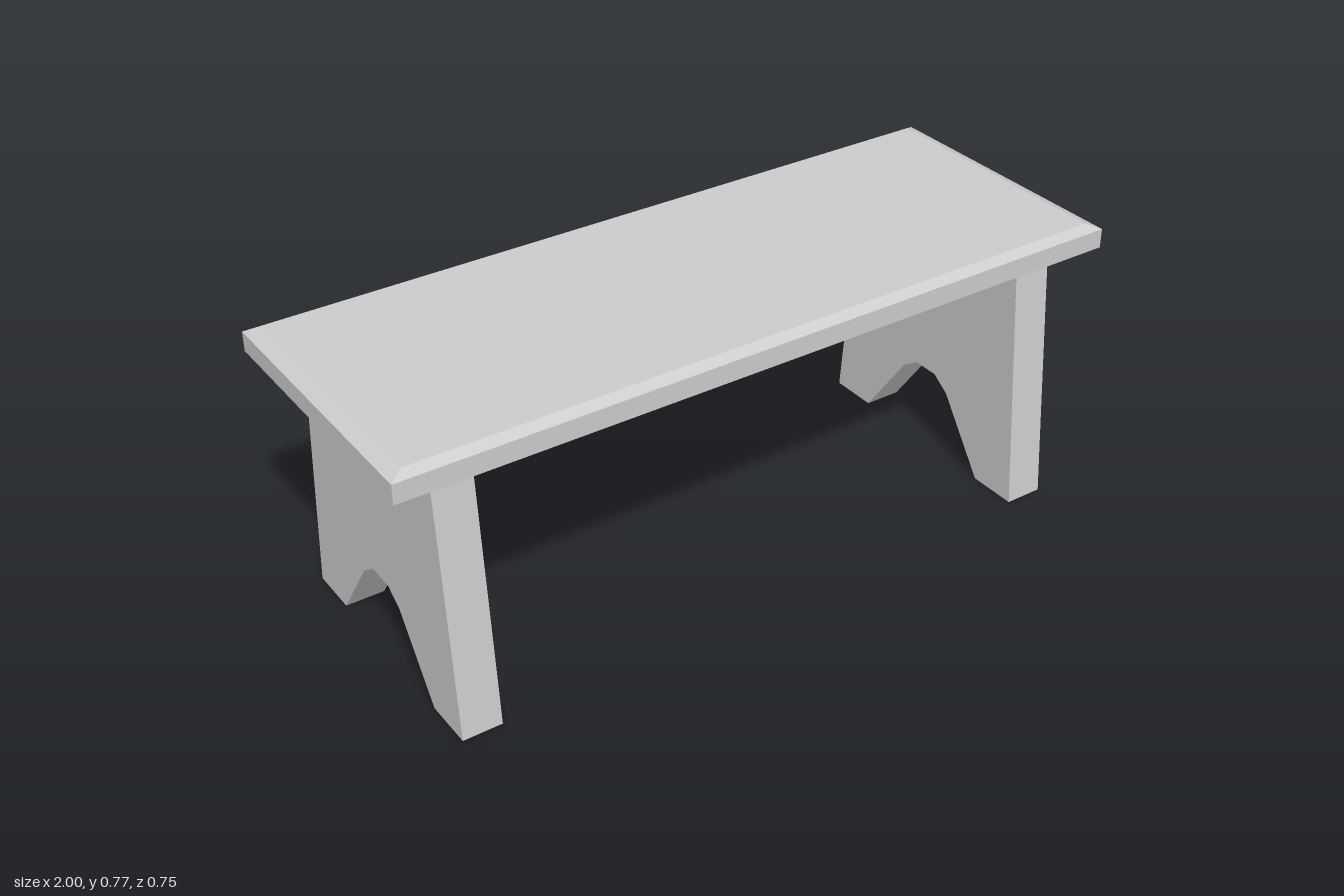
import * as THREE from 'three';

const material = new THREE.MeshStandardMaterial({ color: 0xcccccc, flatShading: true });

// Board with a shallow chamfer round its upper edge
function makeSeat() {
  const bottom = 0.708, shoulder = 0.76, top = 0.775;
  const box = new THREE.BoxGeometry(2, 2, 0.75, 1, 2, 1);
  const p = box.attributes.position;
  for (let i = 0; i < p.count; i++) {
    const level = Math.round(p.getY(i));
    p.setY(i, level < 0 ? bottom : level === 0 ? shoulder : top);
    if (level > 0) {
      p.setX(i, Math.sign(p.getX(i)) * 0.965);
      p.setZ(i, Math.sign(p.getZ(i)) * 0.35);
    }
  }
  const geometry = box.toNonIndexed();
  geometry.computeVertexNormals();
  const seat = new THREE.Mesh(geometry, material);
  seat.name = 'seat';
  return seat;
}

// Tapered end panel with a faceted arch cut between its feet
function makeLegGeometry() {
  const half = [[0.308, 0.708], [0.368, 0], [0.232, 0], [0.09, 0.2], [0.038, 0.236]];
  const mirrored = half.map(([z, y]) => [-z, y]).reverse();
  const outline = [...half, ...mirrored].map(([z, y]) => new THREE.Vector2(z, y));
  const thickness = 0.105;
  return new THREE.ExtrudeGeometry(new THREE.Shape(outline), { depth: thickness, bevelEnabled: false })
    .translate(0, 0, -thickness / 2)
    .rotateY(Math.PI / 2);
}

export function createModel() {
  const bench = new THREE.Group();
  bench.name = 'bench';
  bench.add(makeSeat());

  const legGeometry = makeLegGeometry();
  for (const side of [1, -1]) {
    const leg = new THREE.Mesh(legGeometry, material);
    leg.name = side > 0 ? 'leftLeg' : 'rightLeg';
    leg.position.x = side * 0.832;
    bench.add(leg);
  }
  return bench;
}
